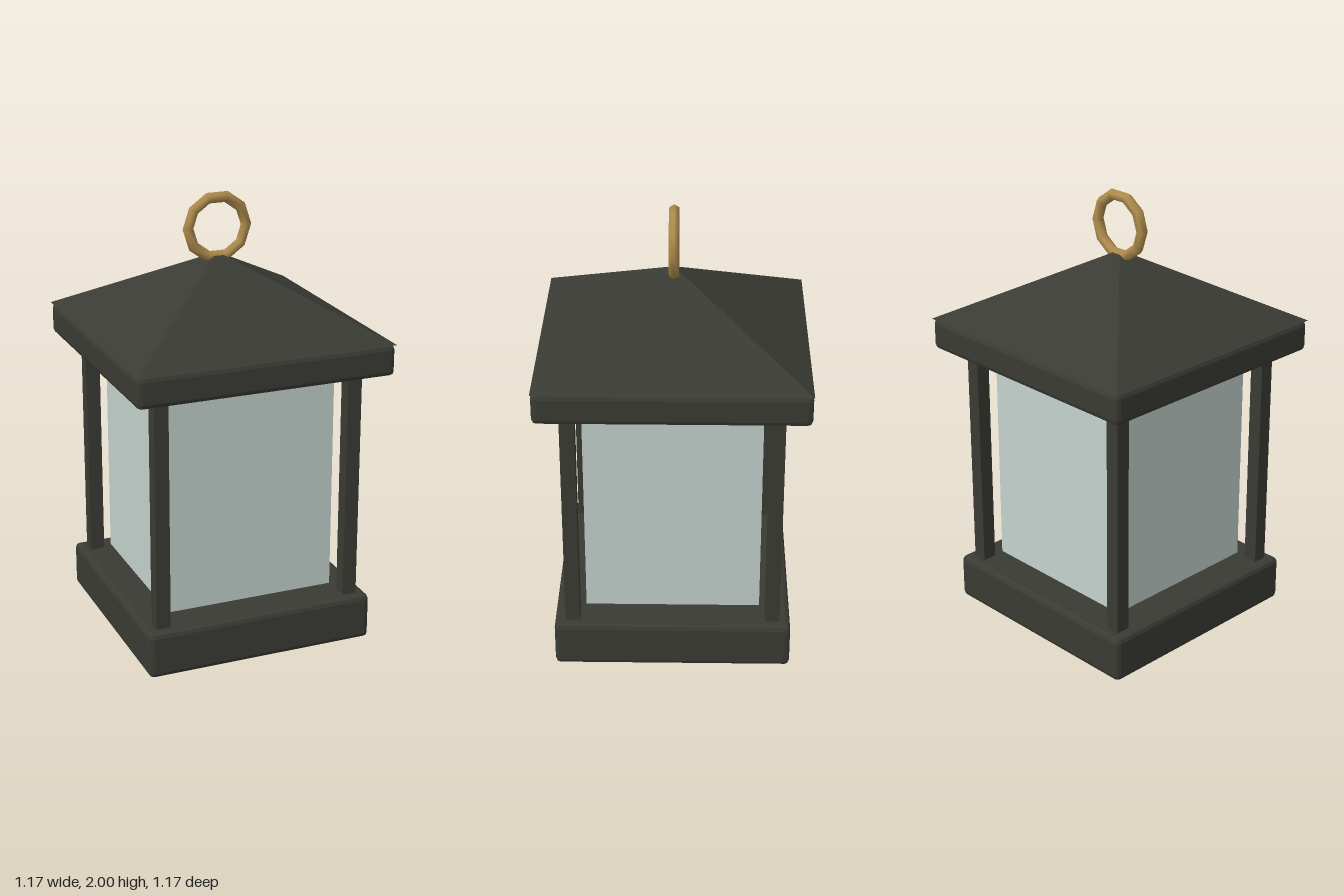
import * as THREE from 'three';
import { RoundedBoxGeometry } from 'three/addons/geometries/RoundedBoxGeometry.js';

export function createModel() {
  const lantern = new THREE.Group();
  lantern.name = 'lantern';

  const iron = new THREE.MeshStandardMaterial({ color: 0x3b3b35, flatShading: true });
  const glass = new THREE.MeshStandardMaterial({ color: 0xc4d2ce, flatShading: true });
  const wax = new THREE.MeshStandardMaterial({ color: 0x938b7c });
  const brass = new THREE.MeshStandardMaterial({ color: 0xb08d4e });

  function add(name, geometry, material, x, y, z) {
    const mesh = new THREE.Mesh(geometry, material);
    mesh.name = name;
    mesh.position.set(x, y, z);
    lantern.add(mesh);
    return mesh;
  }

  // Square slab with chamfered edges, placed by its bottom and top heights
  function slab(name, width, bottom, top) {
    const geometry = new RoundedBoxGeometry(width, top - bottom, width, 1, 0.022);
    add(name, geometry, iron, 0, (bottom + top) / 2, 0);
  }

  slab('base', 1.055, 0.005, 0.215);
  slab('roofRim', 1.17, 1.27, 1.41);

  // Four corner posts
  const postGeometry = new THREE.BoxGeometry(0.065, 1.1, 0.065);
  for (const x of [-0.447, 0.447]) {
    for (const z of [-0.447, 0.447]) add('cornerPost', postGeometry, iron, x, 0.74, z);
  }

  // Glass block with a candle standing inside it
  add('glass', new THREE.BoxGeometry(0.78, 1, 0.78), glass, 0, 0.74, 0);
  const candle = add('candle', new THREE.CylinderGeometry(0.225, 0.225, 0.4, 10), wax, 0, 0.4, 0);
  candle.rotation.y = Math.PI / 2;

  // Four-sided roof with a tiny flat tip
  const halfRoof = 0.587;
  const roofGeometry = new THREE.CylinderGeometry(0.025, halfRoof * Math.SQRT2, 0.315, 4);
  roofGeometry.rotateY(Math.PI / 4);
  add('roof', roofGeometry, iron, 0, 1.5675, 0);

  // Carrying ring on the tip
  add('hangingRing', new THREE.TorusGeometry(0.136, 0.025, 6, 10), brass, 0, 1.847, 0);

  return lantern;
}
